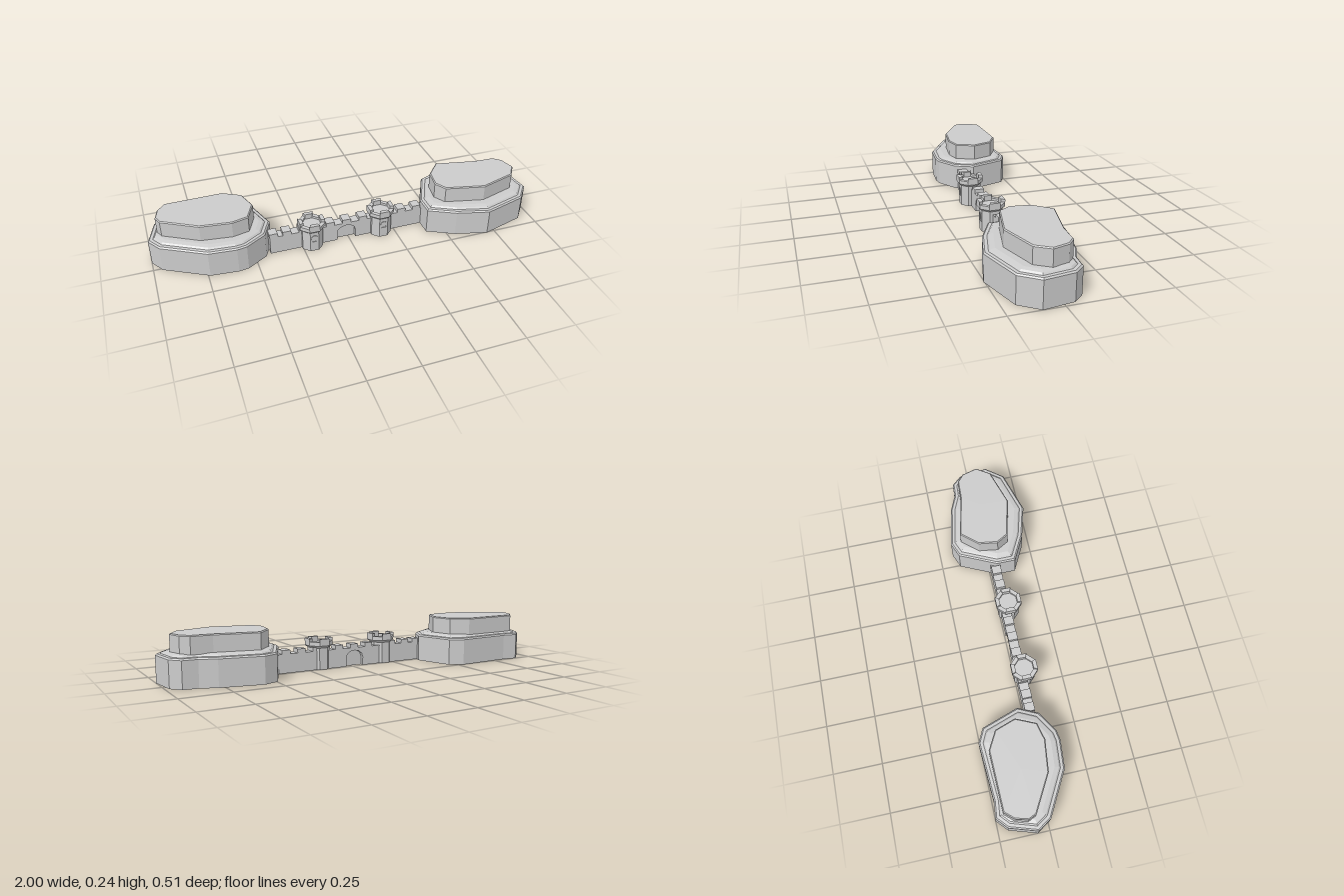
import * as THREE from 'three';

const mat = new THREE.MeshStandardMaterial({ color: 0xcccccc, flatShading: true, side: THREE.DoubleSide });

function addMesh(parent, geometry, name, x = 0, y = 0, z = 0) {
  const mesh = new THREE.Mesh(geometry, mat);
  mesh.name = name;
  mesh.position.set(x, y, z);
  parent.add(mesh);
  return mesh;
}

// Shrinks a closed [x, z] outline by distance d with mitred corners
function inset(outline, d) {
  const n = outline.length;
  const normal = (a, b) => new THREE.Vector2(a[1] - b[1], b[0] - a[0]).normalize();
  return outline.map((p, i) => {
    const n1 = normal(outline[(i + n - 1) % n], p);
    const n2 = normal(p, outline[(i + 1) % n]);
    const k = d / (1 + n1.dot(n2));
    return [p[0] + (n1.x + n2.x) * k, p[1] + (n1.y + n2.y) * k];
  });
}

// Stacks inset copies of an outline by [inset, y] steps; closed on top, open below
function terrace(outline, profile) {
  const rings = profile.map(([d, y]) => inset(outline, d).map(([x, z]) => [x, y, z]));
  const n = outline.length;
  const pos = [];
  for (let r = 0; r < rings.length - 1; r++) {
    for (let i = 0; i < n; i++) {
      const j = (i + 1) % n;
      const [a, b, c, d] = [rings[r][i], rings[r + 1][i], rings[r + 1][j], rings[r][j]];
      pos.push(...a, ...b, ...c, ...a, ...c, ...d);
    }
  }
  const top = rings[rings.length - 1];
  const mid = [0, 1, 2].map((k) => top.reduce((s, p) => s + p[k], 0) / n);
  for (let i = 0; i < n; i++) pos.push(...top[i], ...mid, ...top[(i + 1) % n]);
  const g = new THREE.BufferGeometry();
  g.setAttribute('position', new THREE.Float32BufferAttribute(pos, 3));
  g.computeVertexNormals();
  return g;
}

function cliff(name, lower, upper) {
  const group = new THREE.Group();
  group.name = name;
  addMesh(group, terrace(lower, [[0, 0], [0, 0.133], [0.007, 0.14], [0.022, 0.141], [0.03, 0.149], [0.05, 0.154]]), 'lowerTerrace');
  addMesh(group, terrace(upper, [[0, 0.15], [0, 0.234], [0.005, 0.239]]), 'upperTerrace');
  return group;
}

// Arched outline standing on y0
function archPath(path, x, y0, half, height) {
  const spring = y0 + height - half;
  path.moveTo(x - half, y0);
  path.lineTo(x + half, y0);
  path.lineTo(x + half, spring);
  path.absarc(x, spring, half, 0, Math.PI, false);
  path.lineTo(x - half, y0);
  return path;
}

const extrude = (shape, depth) =>
  new THREE.ExtrudeGeometry(shape, { depth, bevelEnabled: false, curveSegments: 5 });

const WALL_Z = 0.032, WALL_DEPTH = 0.05;

function curtainWall() {
  const group = new THREE.Group();
  group.name = 'curtainWall';
  // Battlement outline with a gateway cut into its foot
  const s = new THREE.Shape();
  const gateX = -0.014, half = 0.05, spring = 0.045;
  s.moveTo(-0.42, 0);
  s.lineTo(gateX - half, 0);
  s.lineTo(gateX - half, spring);
  for (let i = 1; i <= 6; i++) {
    const t = Math.PI * (1 - i / 6);
    s.lineTo(gateX + half * Math.cos(t), spring + 0.038 * Math.sin(t));
  }
  s.lineTo(gateX + half, 0);
  s.lineTo(0.42, 0);
  s.lineTo(0.42, 0.097);
  for (const x of [0.378, 0.293, 0.208, 0.077, -0.012, -0.1, -0.245, -0.33, -0.4]) {
    const w = 0.022;
    s.lineTo(x + w, 0.097);
    s.lineTo(x + w, 0.117);
    s.lineTo(x - w, 0.117);
    s.lineTo(x - w, 0.097);
  }
  s.lineTo(-0.42, 0.097);
  addMesh(group, extrude(s, WALL_DEPTH), 'wall', 0, 0, WALL_Z - WALL_DEPTH / 2);
  addMesh(group, new THREE.BoxGeometry(0.1, 0.084, 0.012), 'gate', gateX, 0.042, WALL_Z);
  return group;
}

// Octagonal prism with flats facing the axes; radii measured to the flats
function octagon(rTop, rBottom, height) {
  const k = 1 / Math.cos(Math.PI / 8);
  return new THREE.CylinderGeometry(rTop * k, rBottom * k, height, 8).rotateY(Math.PI / 8);
}

function tower(name, x) {
  const group = new THREE.Group();
  group.name = name;
  addMesh(group, octagon(0.054, 0.054, 0.112), 'shaft', 0, 0.056, 0);
  addMesh(group, octagon(0.066, 0.054, 0.012), 'corbel', 0, 0.118, 0);
  addMesh(group, octagon(0.066, 0.066, 0.008), 'floor', 0, 0.128, 0);
  // Parapet: eight segments, every other one raised as a merlon
  const tan = Math.tan(Math.PI / 8), inner = 0.046, outer = 0.066;
  for (let i = 0; i < 8; i++) {
    const s = new THREE.Shape();
    s.moveTo(-inner * tan, -inner);
    s.lineTo(-outer * tan, -outer);
    s.lineTo(outer * tan, -outer);
    s.lineTo(inner * tan, -inner);
    const g = extrude(s, i % 2 ? 0.013 : 0.028).rotateX(-Math.PI / 2).rotateY((i * Math.PI) / 4);
    addMesh(group, g, i % 2 ? 'parapet' : 'merlon', 0, 0.131, 0);
  }
  // Arched window frame on the front face
  const frame = archPath(new THREE.Shape(), 0, 0.052, 0.018, 0.042);
  frame.holes.push(archPath(new THREE.Path(), 0, 0.058, 0.012, 0.03));
  addMesh(group, extrude(frame, 0.004), 'windowFrame', 0, 0, 0.053);
  group.position.set(x, 0, 0.05);
  return group;
}

export function createModel() {
  const model = new THREE.Group();
  model.name = 'castleWallBetweenCliffs';
  model.add(
    cliff('rightCliff',
      [[-0.9, -0.25], [-0.82, -0.24], [-0.53, -0.255], [-0.46, -0.22], [-0.397, -0.03], [-0.445, 0.07],
        [-0.55, 0.135], [-0.6, 0.143], [-0.74, 0.13], [-0.955, 0.01], [-1, -0.06], [-0.955, -0.2]],
      [[-0.89, -0.21], [-0.595, -0.215], [-0.505, -0.165], [-0.47, -0.06], [-0.515, 0.04],
        [-0.6, 0.06], [-0.755, 0.04], [-0.93, -0.06], [-0.948, -0.1], [-0.93, -0.165]]),
    cliff('leftCliff',
      [[0.57, -0.18], [0.78, -0.14], [0.86, -0.105], [0.935, -0.1], [0.98, -0.05], [1, 0.1], [0.93, 0.19],
        [0.705, 0.255], [0.54, 0.21], [0.405, 0.14], [0.405, 0.04], [0.495, -0.15]],
      [[0.565, -0.125], [0.78, -0.08], [0.885, -0.075], [0.925, -0.04], [0.947, 0.04], [0.9, 0.11],
        [0.71, 0.168], [0.51, 0.12], [0.475, 0.06], [0.49, -0.04]]),
    curtainWall(),
    tower('rightTower', -0.2),
    tower('leftTower', 0.175),
  );
  return model;
}
